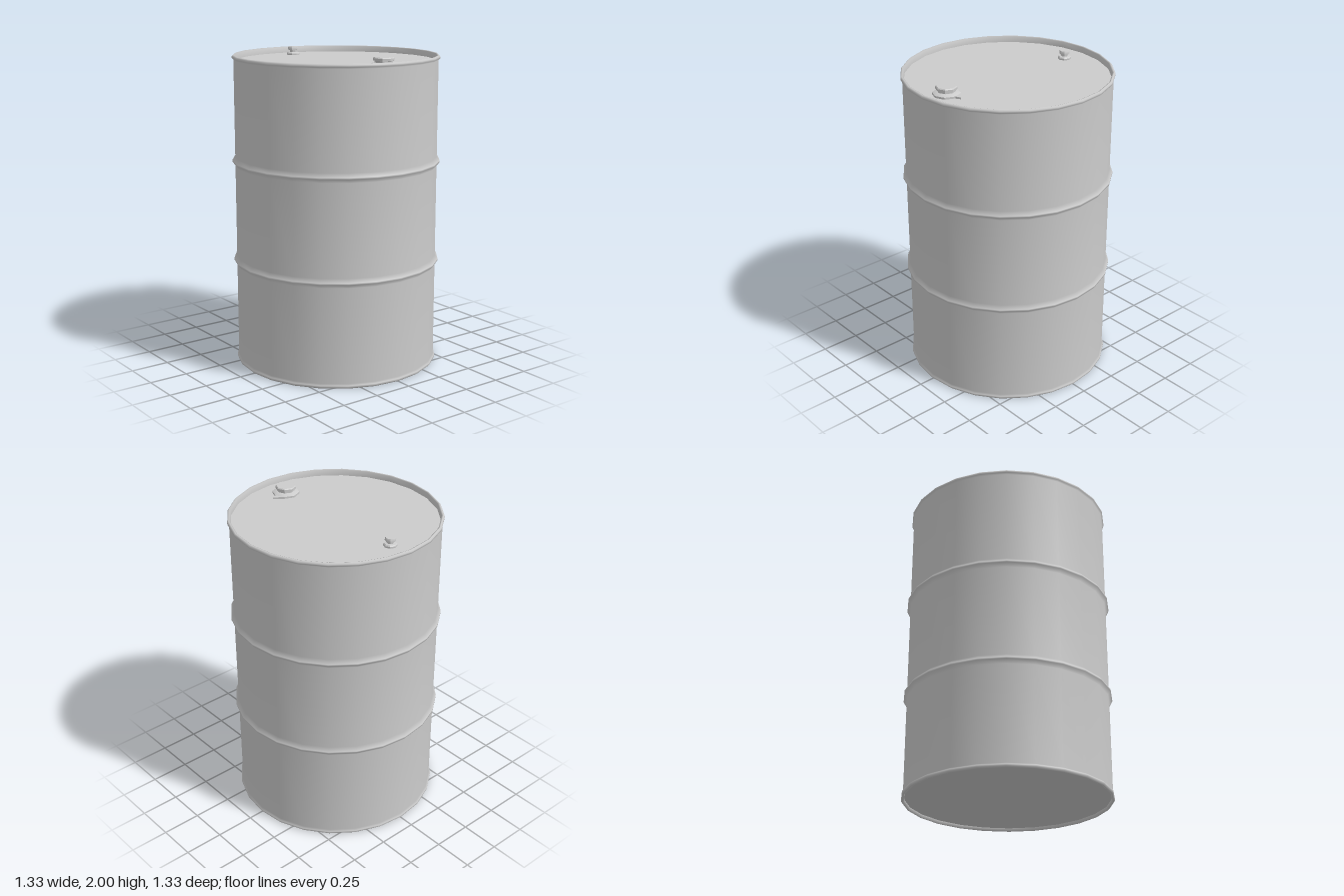
import * as THREE from 'three';
import { toCreasedNormals } from 'three/addons/utils/BufferGeometryUtils.js';

const material = new THREE.MeshStandardMaterial({ color: 0xcccccc });

function lathe(name, points, sides) {
  const profile = points.map(([r, y]) => new THREE.Vector2(r, y));
  const mesh = new THREE.Mesh(new THREE.LatheGeometry(profile, sides), material);
  mesh.name = name;
  return mesh;
}

// Screw plug: wide foot, narrow neck and flat cap
function plug(name, x, profile) {
  const mesh = lathe(name, profile, 8);
  mesh.geometry = toCreasedNormals(mesh.geometry, 0.6);
  mesh.position.set(x, LID, 0);
  return mesh;
}

const R = 0.645, LID = 1.945, BASE = 0.02;

export function createModel() {
  const drum = new THREE.Group();
  drum.name = 'drum';

  // Side wall with two rolling hoops and a rolled rim at each end
  const hoop = (y) => [[R, y - 0.03], [0.664, y - 0.006], [0.664, y + 0.006], [R, y + 0.03]];
  drum.add(lathe('wall', [
    [0.635, BASE], [0.637, 0.004], [0.647, 0], [0.655, 0.008], [0.655, 0.02], [R, 0.03],
    ...hoop(0.67), ...hoop(1.315),
    [R, 1.955], [0.655, 1.965], [0.655, 1.977], [0.647, 1.985], [0.637, 1.981], [0.635, LID],
  ], 24));

  // Recessed end discs
  drum.add(lathe('lid', [[0.635, LID], [0, LID]], 24));
  drum.add(lathe('base', [[0, BASE], [0.635, BASE]], 24));

  // Filler plug and vent plug
  drum.add(plug('fillerPlug', 0.475, [
    [0.085, 0], [0.085, 0.012], [0.066, 0.021], [0.056, 0.023],
    [0.056, 0.032], [0.065, 0.035], [0.065, 0.049], [0.06, 0.055], [0, 0.055],
  ]));
  drum.add(plug('ventPlug', -0.477, [
    [0.042, 0], [0.042, 0.01], [0.036, 0.017], [0.022, 0.019],
    [0.022, 0.031], [0.033, 0.034], [0.033, 0.05], [0.03, 0.055], [0, 0.055],
  ]));

  // Small pointed tab beside the filler plug
  const outline = new THREE.Shape([[0.415, 0.06], [0.475, 0.08], [0.472, 0.095], [0.459, 0.117]]
    .map(([x, y]) => new THREE.Vector2(x, y)));
  const tab = new THREE.Mesh(
    new THREE.ExtrudeGeometry(outline, { depth: 0.012, bevelEnabled: false }), material);
  tab.name = 'fillerTab';
  tab.rotation.x = -Math.PI / 2;
  tab.position.y = LID;
  drum.add(tab);

  return drum;
}
